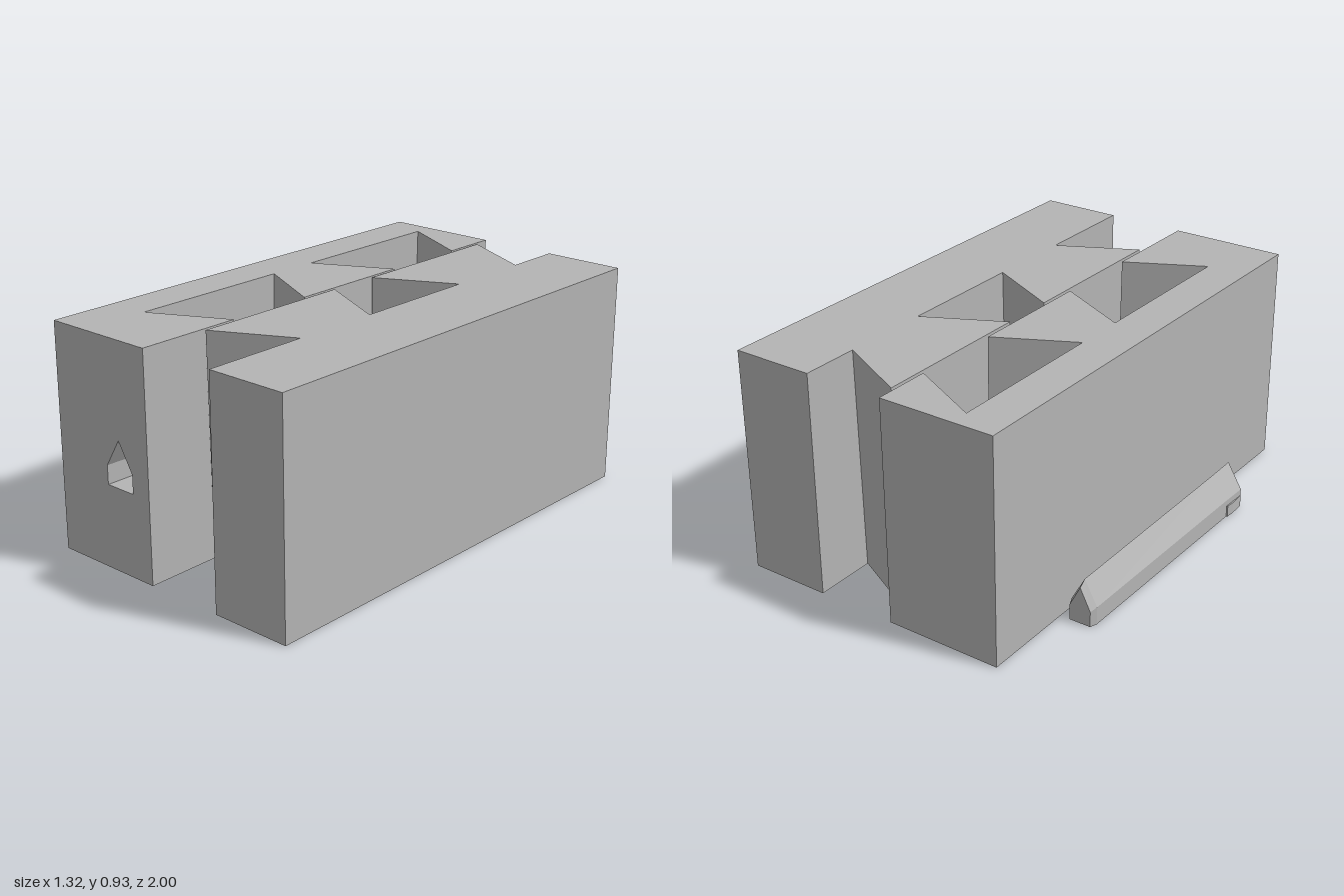
import * as THREE from 'three';

const H = 0.93;                       // block height
const CENTERS = [0.358, -0.567];      // z of the front and back dovetail
const HOLE_Y = 0.345;

export function createModel() {
  const grey = new THREE.MeshStandardMaterial({ color: 0xb4b4b4 });
  const model = new THREE.Group();

  function add(parent, geometry, name) {
    const mesh = new THREE.Mesh(geometry, grey);
    mesh.name = name;
    parent.add(mesh);
    return mesh;
  }

  function group(name) {
    const g = new THREE.Group();
    g.name = name;
    model.add(g);
    return g;
  }

  // House-shaped outline used by the pin and its holes
  function house(PathClass, cx, y, w, side, top) {
    return new PathClass([[-w, 0], [w, 0], [w, side], [0, top], [-w, side]]
      .map(([px, py]) => new THREE.Vector2(cx + px, y + py)));
  }

  // Full-height slab between two z surfaces, with an optional pin hole
  function slab(x0, x1, back, front, hole) {
    const shape = new THREE.Shape([[x0, 0], [x1, 0], [x1, H], [x0, H]]
      .map(([x, y]) => new THREE.Vector2(x, y)));
    if (hole) shape.holes.push(house(THREE.Path, hole.x, HOLE_Y, hole.w, 0.078, hole.h));
    const g = new THREE.ExtrudeGeometry(shape, { depth: 1, bevelEnabled: false });
    const p = g.attributes.position;
    for (let i = 0; i < p.count; i++) {
      let x = p.getX(i), y = p.getY(i);
      const isFront = p.getZ(i) > 0.5;
      const inHole = x > x0 + 1e-4 && x < x1 - 1e-4;
      if (inHole && !isFront && hole.taper) {
        x = hole.x + (x - hole.x) * hole.taper;
        y = HOLE_Y + (y - HOLE_Y) * hole.taper;
      }
      p.setXYZ(i, x, y, (isFront ? front : back)(x, y));
    }
    g.computeVertexNormals();
    return g;
  }

  const flat = z => () => z;
  // Half widths of the dovetails, slightly narrower toward the bottom
  const draft = y => 0.015 * (1 - y / H);
  const socketHalf = (x, y) => 0.352 - 0.508 * (x + 0.335) - draft(y);
  const tenonHalf = (x, y) => 0.349 - 0.505 * x - draft(y);
  const [c0, c1] = CENTERS;

  // Socket block: spine, two end walls and a web with a blind hole
  const socketBlock = group('socketBlock');
  const sx = [-0.335, -0.018];
  add(socketBlock, slab(-0.508, sx[0], flat(-1), flat(1)), 'socketSpine');
  add(socketBlock, slab(...sx, (x, y) => c0 + socketHalf(x, y), flat(1),
    { x: -0.175, w: 0.069, h: 0.193, taper: 0.92 }), 'frontWall');
  add(socketBlock, slab(...sx, flat(-0.11), (x, y) => c0 - socketHalf(x, y),
    { x: -0.175, w: 0.0635, h: 0.178 }), 'webFront');
  add(socketBlock, slab(...sx, (x, y) => c1 + socketHalf(x, y), flat(-0.11)), 'webBack');
  add(socketBlock, slab(...sx, flat(-1), (x, y) => c1 - socketHalf(x, y)), 'backWall');

  // Tenon block: spine and two dovetails, the front one drilled
  const tenonBlock = group('tenonBlock');
  add(tenonBlock, slab(0.317, 0.66, flat(-1), flat(1)), 'tenonSpine');
  CENTERS.forEach((c, i) => add(tenonBlock, slab(-0.003, 0.317,
    (x, y) => c - tenonHalf(x, y), (x, y) => c + tenonHalf(x, y),
    i === 0 ? { x: 0.156, w: 0.066, h: 0.188 } : null), i ? 'backTenon' : 'frontTenon'));

  // Locking pin: tapered house-shaped bar, [z, half width, height] per section
  const pin = group('lockingPin');
  const sections = [[-0.6, 0.046, 0.155], [-0.57, 0.056, 0.178], [0.38, 0.062, 0.184], [0.5, 0.065, 0.187]];
  const n = sections.length - 1;
  const bar = new THREE.ExtrudeGeometry(house(THREE.Shape, 0, 0, 1, 0.42, 1),
    { depth: 1, steps: n, bevelEnabled: false });
  const bp = bar.attributes.position;
  for (let i = 0; i < bp.count; i++) {
    const [z, w, h] = sections[Math.round(bp.getZ(i) * n)];
    bp.setXYZ(i, bp.getX(i) * w, bp.getY(i) * h, z);
  }
  bar.computeVertexNormals();
  add(pin, bar, 'pinBar');

  // Small grip bumps on both sides of the pin head
  const bump = new THREE.Shape([[0, -0.37], [0.067, -0.39], [0.07, -0.43], [0.066, -0.5], [0, -0.5]]
    .map(([x, y]) => new THREE.Vector2(x, y)));
  for (const side of [0, 1]) {
    const g = new THREE.ExtrudeGeometry(bump, { depth: 0.05, bevelEnabled: false });
    g.rotateX(-Math.PI / 2);
    if (side) {
      // Half turn about the bump's own middle in z keeps the winding correct
      g.rotateZ(Math.PI);
      g.translate(0, 0.05, 0);
    }
    add(pin, g, side ? 'rightBump' : 'leftBump');
  }
  pin.position.x = -0.594;

  return model;
}
